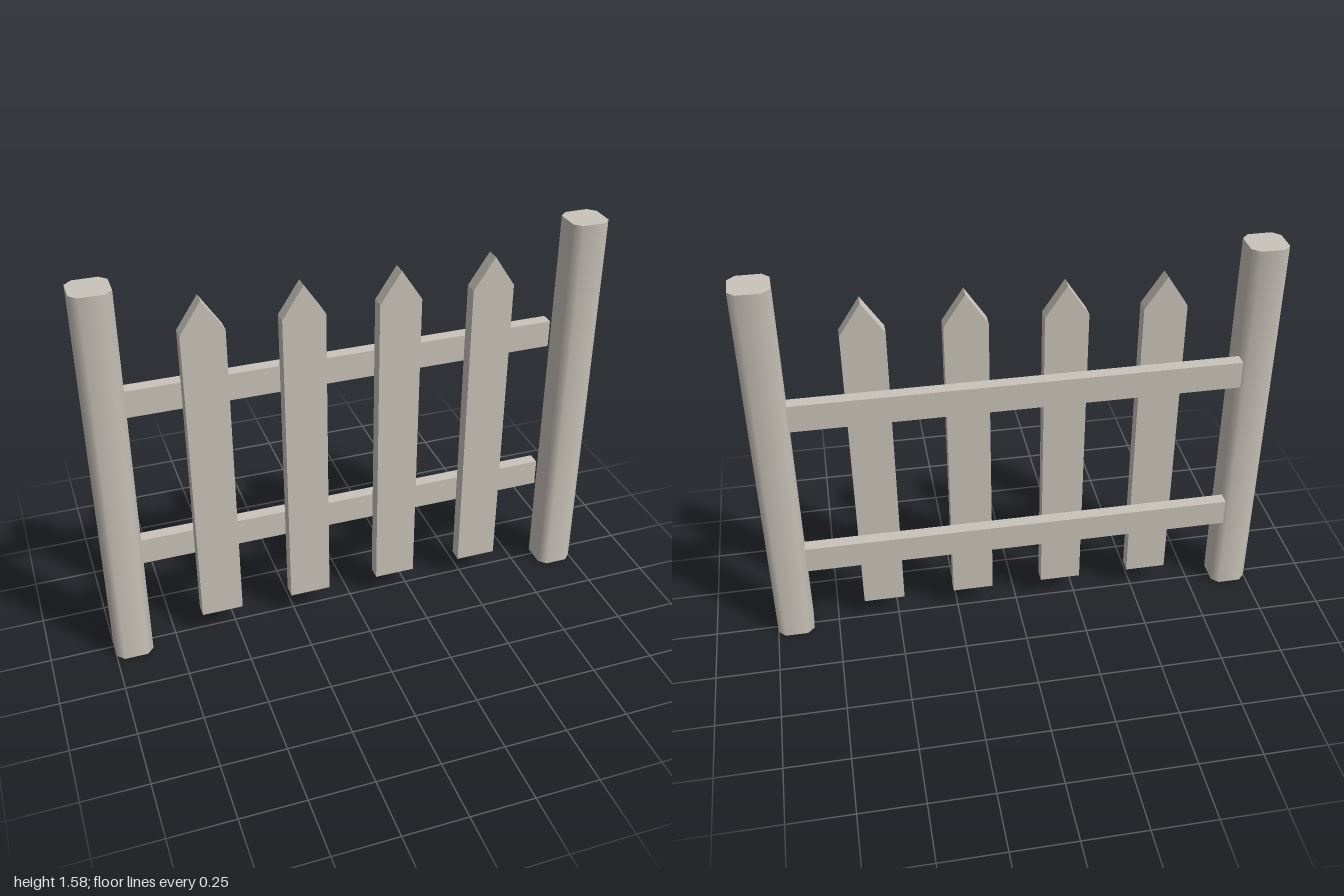
import * as THREE from 'three';

const wood = new THREE.MeshStandardMaterial({ color: 0xc9c4ba, side: THREE.DoubleSide });
wood.name = 'weathered wood';

// Flat-sided board: outline in x/y, thickness z0..z1, underside left open
function board(name, points, z0, z1) {
  const shape = new THREE.Shape(points.map(([x, y]) => new THREE.Vector2(x, y)));
  const geo = new THREE.ExtrudeGeometry(shape, { depth: z1 - z0, bevelEnabled: false });
  const p = geo.attributes.position;
  const bottom = Math.min(...points.map((q) => q[1])) + 1e-4;
  const index = [];
  for (let i = 0; i < p.count; i += 3) {
    const under = [0, 1, 2].every((k) => p.getY(i + k) < bottom);
    if (!under) index.push(i, i + 1, i + 2);
  }
  geo.clearGroups();
  geo.setIndex(index);
  geo.translate(0, 0, z0);
  const mesh = new THREE.Mesh(geo, wood);
  mesh.name = name;
  return mesh;
}

// Square post with softened corners, smooth walls, flat top and open base
function post(name, x) {
  const w = 0.0735, c = 0.028, h = 1.575, e = w - c;
  const ring = [[e, w], [w, e], [w, -e], [e, -w], [-e, -w], [-w, -e], [-w, e], [-e, w]];
  const pos = [], index = [];
  ring.forEach(([px, pz], i) => {
    pos.push(px, 0, pz, px, h, pz);
    const a = 2 * i, b = 2 * ((i + 1) % ring.length);
    index.push(a, b, b + 1, a, b + 1, a + 1);
  });
  const walls = new THREE.BufferGeometry();
  walls.setAttribute('position', new THREE.Float32BufferAttribute(pos, 3));
  walls.setIndex(index);
  walls.computeVertexNormals();

  const top = new THREE.ShapeGeometry(new THREE.Shape(ring.map(([px, pz]) => new THREE.Vector2(px, -pz))));
  top.rotateX(-Math.PI / 2).translate(0, h, 0);

  const group = new THREE.Group();
  group.name = name;
  const wallMesh = new THREE.Mesh(walls, wood);
  wallMesh.name = 'postWalls';
  const topMesh = new THREE.Mesh(top, wood);
  topMesh.name = 'postTop';
  group.add(wallMesh, topMesh);
  group.position.set(x, 0, 0.0135);
  return group;
}

export function createModel() {
  const fence = new THREE.Group();
  fence.name = 'picketFence';

  // End posts
  fence.add(post('leftPost', 0.9265), post('rightPost', -0.9265));

  // Horizontal rails behind the pickets
  for (const [name, y0, y1] of [['lowerRail', 0.355, 0.465], ['upperRail', 1.02, 1.13]]) {
    fence.add(board(name, [[-0.855, y0], [0.85, y0], [0.85, y1], [-0.855, y1]], -0.087, -0.037));
  }

  // Pointed pickets
  for (let i = 0; i < 4; i++) {
    const x = -0.5575 + i * 0.371, w = 0.0825;
    fence.add(board('picket' + (i + 1),
      [[x - w, 0.095], [x + w, 0.095], [x + w, 1.355], [x, 1.48], [x - w, 1.355]], -0.014, 0.04));
  }
  return fence;
}
